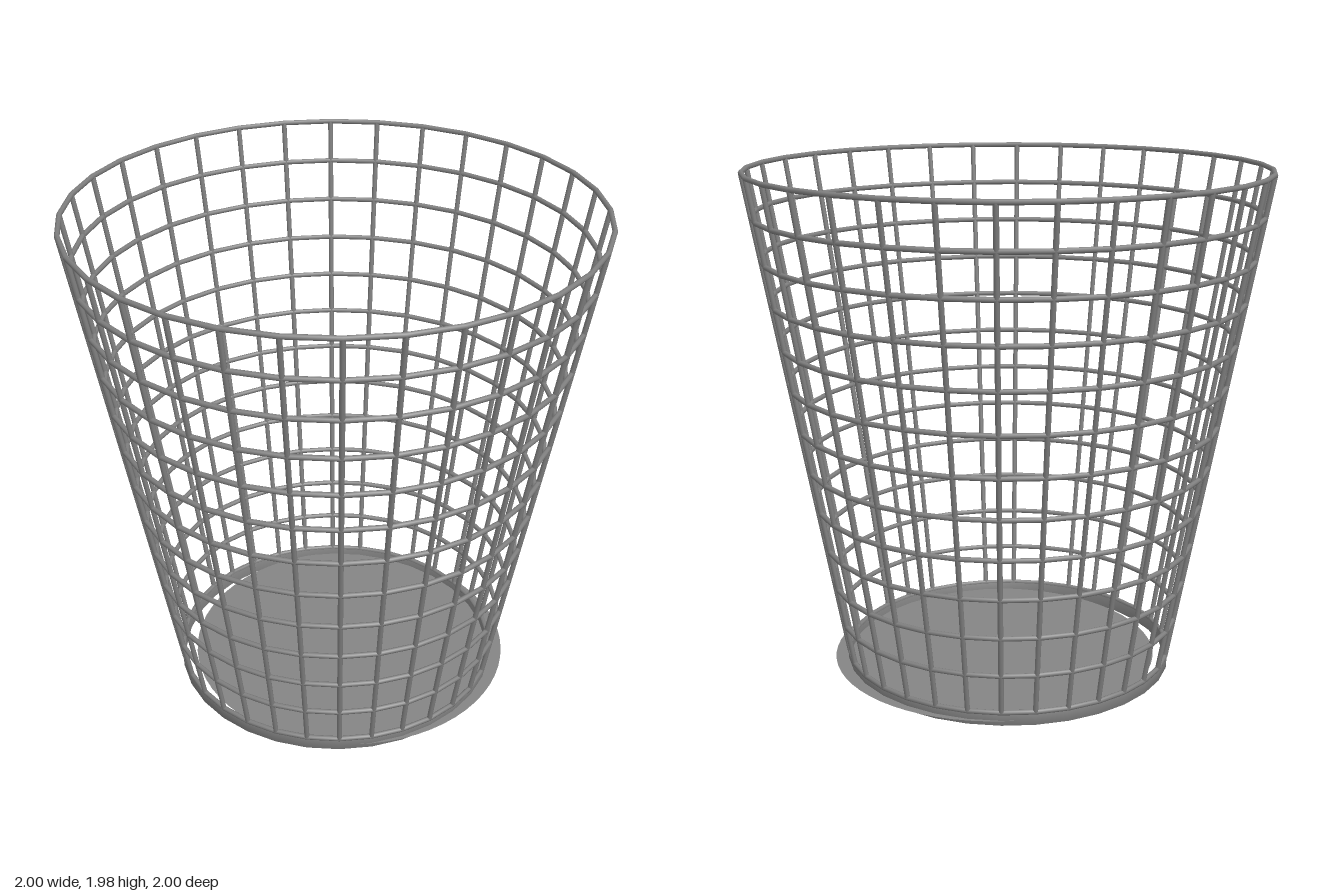
import * as THREE from 'three';

const SIDES = 32, RINGS = 13;
const BOTTOM_Y = 0.05, TOP_Y = 1.97, BOTTOM_R = 0.645, TOP_R = 0.99, WIRE = 0.01;

export function createModel() {
  const basket = new THREE.Group();
  basket.name = 'wireBasket';
  const metal = new THREE.MeshStandardMaterial({ color: 0x808080 });
  metal.name = 'grey metal';
  const plate = new THREE.MeshStandardMaterial({ color: 0x858585, side: THREE.DoubleSide });
  plate.name = 'grey plate';

  const add = (name, geometry, material = metal) => {
    const mesh = new THREE.Mesh(geometry, material);
    mesh.name = name;
    basket.add(mesh);
    return mesh;
  };

  // horizontal hoops, widening towards the rim
  for (let i = 0; i < RINGS; i++) {
    const t = i / (RINGS - 1);
    const radius = THREE.MathUtils.lerp(BOTTOM_R, TOP_R, t);
    const hoop = new THREE.TorusGeometry(radius, WIRE, 8, SIDES).rotateX(Math.PI / 2);
    add(i === RINGS - 1 ? 'rim' : 'hoop', hoop).position.y = THREE.MathUtils.lerp(BOTTOM_Y, TOP_Y, t);
  }

  // slanted upright wires
  const rise = TOP_Y - BOTTOM_Y, flare = TOP_R - BOTTOM_R;
  const wire = new THREE.CylinderGeometry(WIRE, WIRE, Math.hypot(rise, flare), 8);
  wire.rotateZ(-Math.atan2(flare, rise));
  wire.translate((TOP_R + BOTTOM_R) / 2, (TOP_Y + BOTTOM_Y) / 2, 0);
  for (let i = 0; i < SIDES; i++) {
    add('uprightWire', wire).rotation.y = (i / SIDES) * Math.PI * 2;
  }

  // low band around the foot
  const section = [[0.636, 0], [0.65, 0], [0.652, 0.055], [0.636, 0.055], [0.636, 0]];
  const band = new THREE.LatheGeometry(section.map(([r, y]) => new THREE.Vector2(r, y)), SIDES);
  add('baseBand', band);

  // thin floor plate, sitting slightly off centre
  const floor = new THREE.CircleGeometry(0.645, 64).rotateX(-Math.PI / 2);
  add('floorPlate', floor, plate).position.set(0.04, 0.02, -0.04);

  return basket;
}
